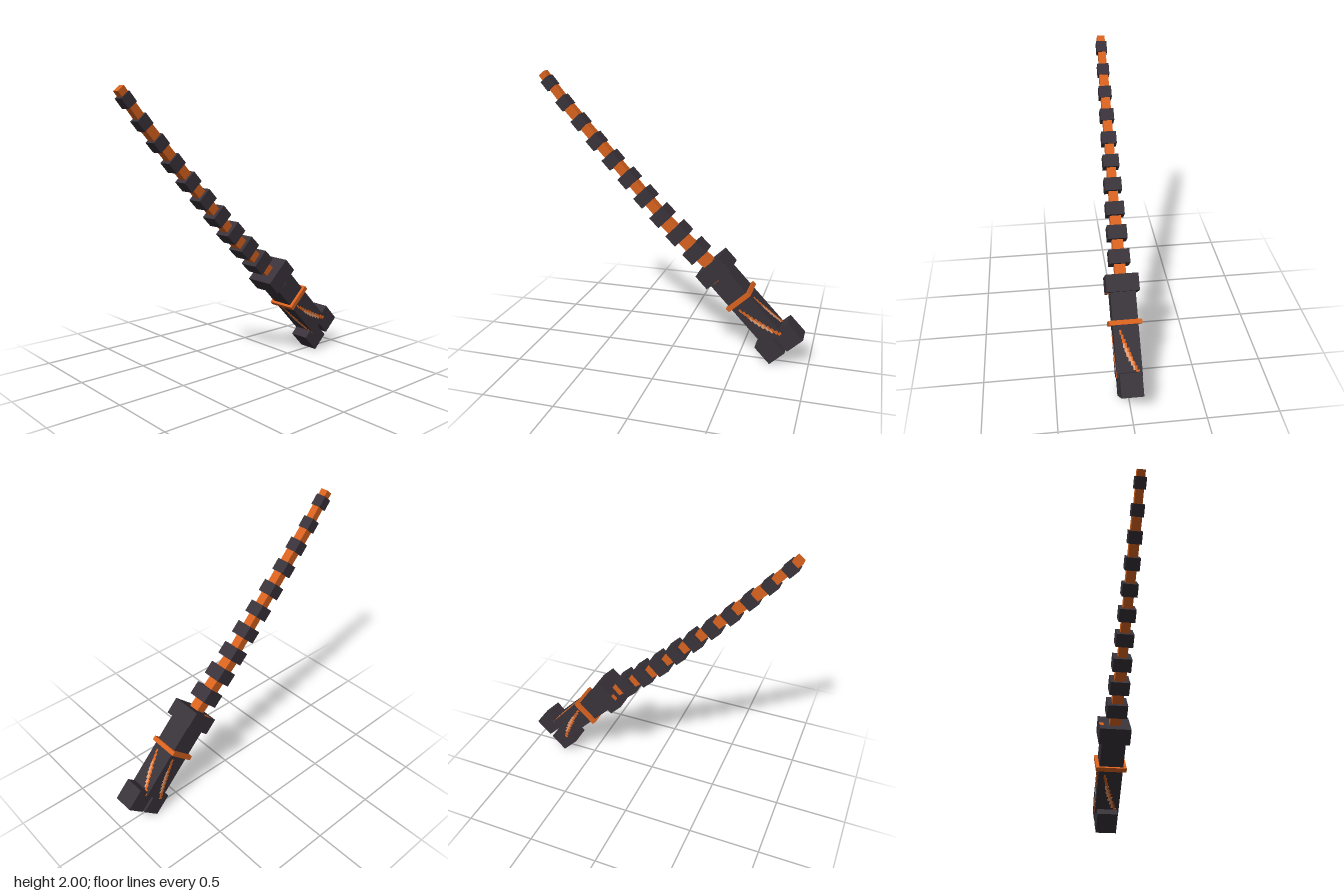
import * as THREE from 'three';

const mat = (name, color) => {
  const m = new THREE.MeshStandardMaterial({ color });
  m.name = name;
  return m;
};

export function createModel() {
  const dark = mat('charcoal', 0x39323a);
  const orange = mat('ember orange', 0xd8621f);
  const pale = mat('pale glow', 0xe39b70);

  const model = new THREE.Group();
  model.name = 'bandedRod';

  const box = (parent, name, material, size, pos, angle = 0) => {
    const mesh = new THREE.Mesh(new THREE.BoxGeometry(...size), material);
    mesh.name = name;
    mesh.position.set(...pos);
    mesh.rotation.z = angle;
    parent.add(mesh);
    return mesh;
  };

  // Slim core in three slightly bent lengths
  const core = [
    [-0.944, 1.982, -0.73, 1.72, 0.055],
    [-0.755, 1.75, -0.035, 0.965, 0.065],
    [-0.055, 0.978, 0.31, 0.655, 0.078],
  ];
  for (const [x0, y0, x1, y1, w] of core) {
    box(model, 'core', orange, [Math.hypot(x1 - x0, y1 - y0), w, w],
      [(x0 + x1) / 2, (y0 + y1) / 2, 0], Math.atan2(y1 - y0, x1 - x0));
  }

  // Dark bands growing towards the handle
  const bands = [
    [-0.895, 1.913], [-0.785, 1.78], [-0.67, 1.65], [-0.555, 1.52], [-0.435, 1.393],
    [-0.315, 1.268], [-0.195, 1.143], [-0.073, 1.015], [0.05, 0.895], [0.178, 0.775],
  ];
  bands.forEach(([x, y], i) => {
    const k = i / (bands.length - 1);
    const w = 0.075 + 0.07 * k;
    const angle = -THREE.MathUtils.degToRad(50 - 6 * k);
    box(model, 'band', dark, [0.08 + 0.02 * k, w, w], [x, y, 0], angle);
  });

  // Handle: local x runs down its length, y across it
  const handle = new THREE.Group();
  handle.name = 'handle';
  handle.position.set(0.505, 0.463, 0);
  handle.rotation.z = -THREE.MathUtils.degToRad(46.5);
  model.add(handle);

  box(handle, 'collar', dark, [0.12, 0.226, 0.226], [-0.266, 0, 0]);
  box(handle, 'grip', dark, [0.66, 0.168, 0.174], [0.033, 0, 0]);
  box(handle, 'ring', orange, [0.032, 0.205, 0.224], [0, 0, 0]);
  for (const t of [-0.08, 0.088]) {
    box(handle, 'pommelBlock', dark, [0.158, 0.145, 0.15], [0.412, t, 0]);
  }

  // Small ember flecks on the collar ends
  box(handle, 'fleck', orange, [0.004, 0.045, 0.03], [-0.327, -0.03, -0.097]);
  box(handle, 'fleck', orange, [0.004, 0.045, 0.025], [-0.205, -0.025, 0.1]);

  // Stepped glowing crack on each side: start, end, low, split, high
  const steps = [
    [0.05, 0.08, -0.048, -0.048, -0.034],
    [0.08, 0.11, -0.04, -0.04, -0.022],
    [0.11, 0.14, -0.034, -0.034, -0.012],
    [0.14, 0.17, -0.03, -0.016, -0.004],
    [0.17, 0.20, -0.022, -0.004, 0.01],
    [0.20, 0.23, -0.014, 0.006, 0.02],
    [0.23, 0.26, -0.002, 0.02, 0.03],
    [0.26, 0.29, 0.012, 0.03, 0.042],
    [0.29, 0.32, 0.026, 0.038, 0.054],
    [0.32, 0.345, 0.044, 0.044, 0.068],
    [0.345, 0.363, 0.056, 0.056, 0.08],
  ];
  for (let side = 0; side < 4; side++) {
    const crack = new THREE.Group();
    crack.name = 'crack';
    crack.rotation.x = -side * Math.PI / 2;
    handle.add(crack);
    const z = side % 2 ? 0.085 : 0.088;
    for (const [a, b, low, split, high] of steps) {
      box(crack, 'crackEdge', orange, [b - a, high - split, 0.005], [(a + b) / 2, (high + split) / 2, z]);
      if (split > low) {
        box(crack, 'crackGlow', pale, [b - a, split - low, 0.005], [(a + b) / 2, (low + split) / 2, z]);
      }
    }
  }

  return model;
}
